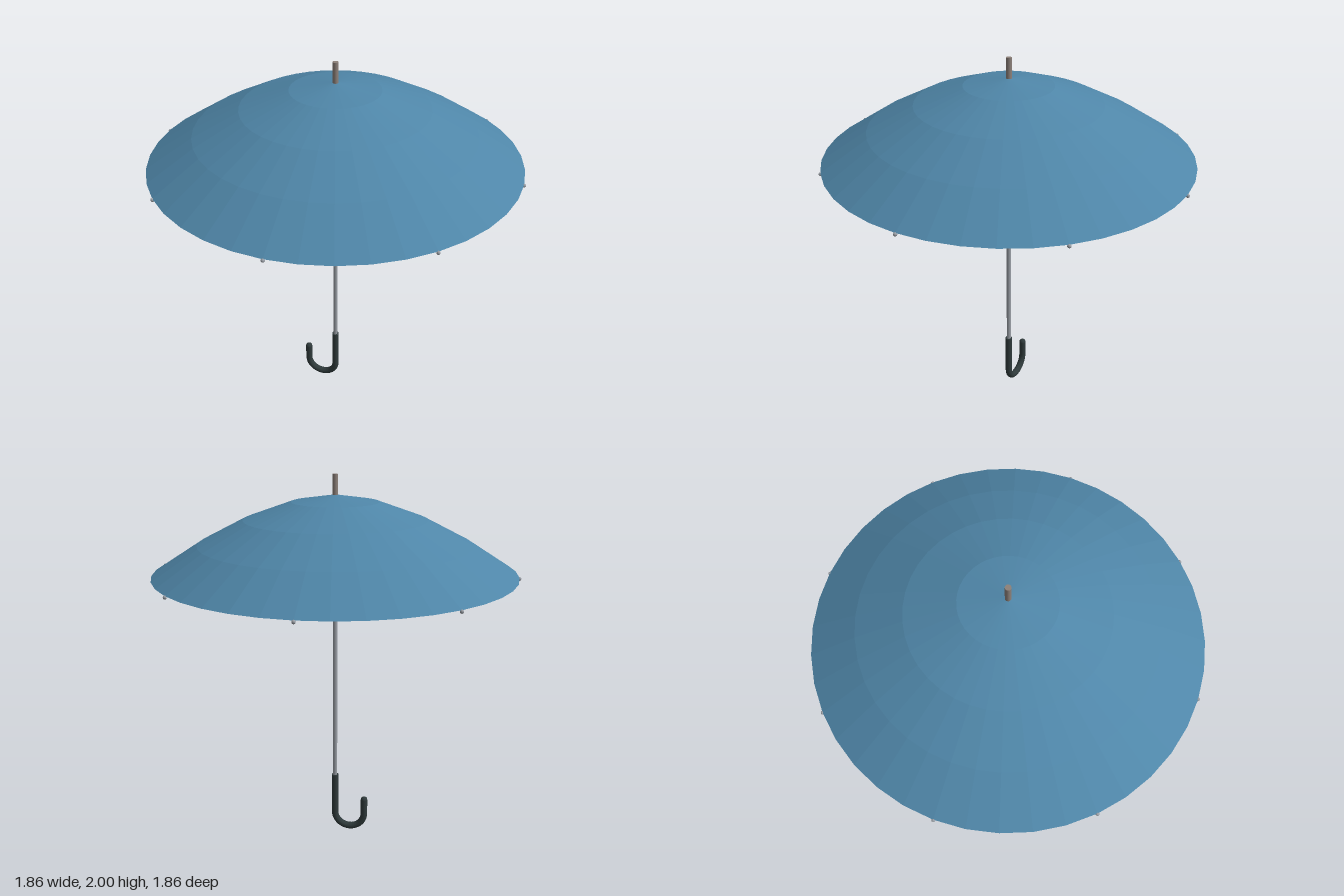
import * as THREE from 'three';

export function createModel() {
  const group = new THREE.Group();
  const material = (name, color, extra = {}) => {
    const m = new THREE.MeshStandardMaterial({ color, ...extra });
    m.name = name;
    return m;
  };
  const fabric = material('blue fabric', 0x4f86a8, { side: THREE.DoubleSide, flatShading: true });
  const steel = material('steel', 0x9a9fa6);
  const wire = material('rib metal', 0x8c8079);
  const grip = material('dark grip', 0x2f3a3b);

  const add = (name, geometry, mat, parent = group) => {
    const mesh = new THREE.Mesh(geometry, mat);
    mesh.name = name;
    parent.add(mesh);
    return mesh;
  };
  // Upright cylinder between two heights
  const post = (name, radius, y0, y1, mat, sides = 16) =>
    add(name, new THREE.CylinderGeometry(radius, radius, y1 - y0, sides).translate(0, (y0 + y1) / 2, 0), mat);
  // Thin rod between two points
  const rod = (name, a, b, radius, parent) => {
    const mesh = add(name, new THREE.CylinderGeometry(radius, radius, a.distanceTo(b), 6), wire, parent);
    mesh.position.copy(a).add(b).multiplyScalar(0.5);
    mesh.quaternion.setFromUnitVectors(new THREE.Vector3(0, 1, 0), b.clone().sub(a).normalize());
  };

  // Canopy: faceted dome, listed from rim to crown
  const profile = [[0.92, 1.52], [0.69, 1.665], [0.46, 1.782], [0.22, 1.867], [0.001, 1.902]]
    .map(([r, y]) => new THREE.Vector2(r, y));
  add('canopy', new THREE.LatheGeometry(profile, 40), fabric);

  // Shaft, ferrule and sliding runner
  post('shaft', 0.012, 0.33, 1.9, steel);
  post('ferrule', 0.014, 1.88, 2.0, wire);
  post('runner', 0.025, 1.375, 1.43, steel);
  post('runnerCollar', 0.019, 1.43, 1.445, steel);

  // Eight ribs with stretchers and rounded tips
  for (let i = 0; i < 8; i++) {
    const arm = new THREE.Group();
    arm.name = 'ribAssembly';
    arm.rotation.y = (i * Math.PI) / 4;
    group.add(arm);
    const pts = profile.map((p) => new THREE.Vector3(p.x, p.y - 0.006, 0));
    for (let j = 0; j < pts.length - 1; j++) rod('rib', pts[j], pts[j + 1], 0.004, arm);
    rod('stretcher', new THREE.Vector3(0.018, 1.43, 0), pts[2], 0.004, arm);
    add('ribTip', new THREE.SphereGeometry(0.009, 10, 8), steel, arm).position.set(0.92, 1.514, 0);
  }

  // Hooked handle: straight, half circle, short upturned end
  const path = new THREE.CurvePath();
  const bend = [];
  for (let i = 0; i <= 16; i++) {
    const a = (-i * Math.PI) / 16;
    bend.push(new THREE.Vector3(-0.084 + 0.084 * Math.cos(a), 0.103 + 0.084 * Math.sin(a), 0));
  }
  const stops = [new THREE.Vector3(0, 0.345, 0), ...bend, new THREE.Vector3(-0.168, 0.197, 0)];
  for (let i = 0; i < stops.length - 1; i++) path.add(new THREE.LineCurve3(stops[i], stops[i + 1]));
  add('handle', new THREE.TubeGeometry(path, 80, 0.019, 14), grip);
  add('handleEnd', new THREE.SphereGeometry(0.019, 14, 10), grip).position.set(-0.168, 0.197, 0);
  add('handleTop', new THREE.CircleGeometry(0.019, 14).rotateX(-Math.PI / 2), grip).position.y = 0.345;

  return group;
}
